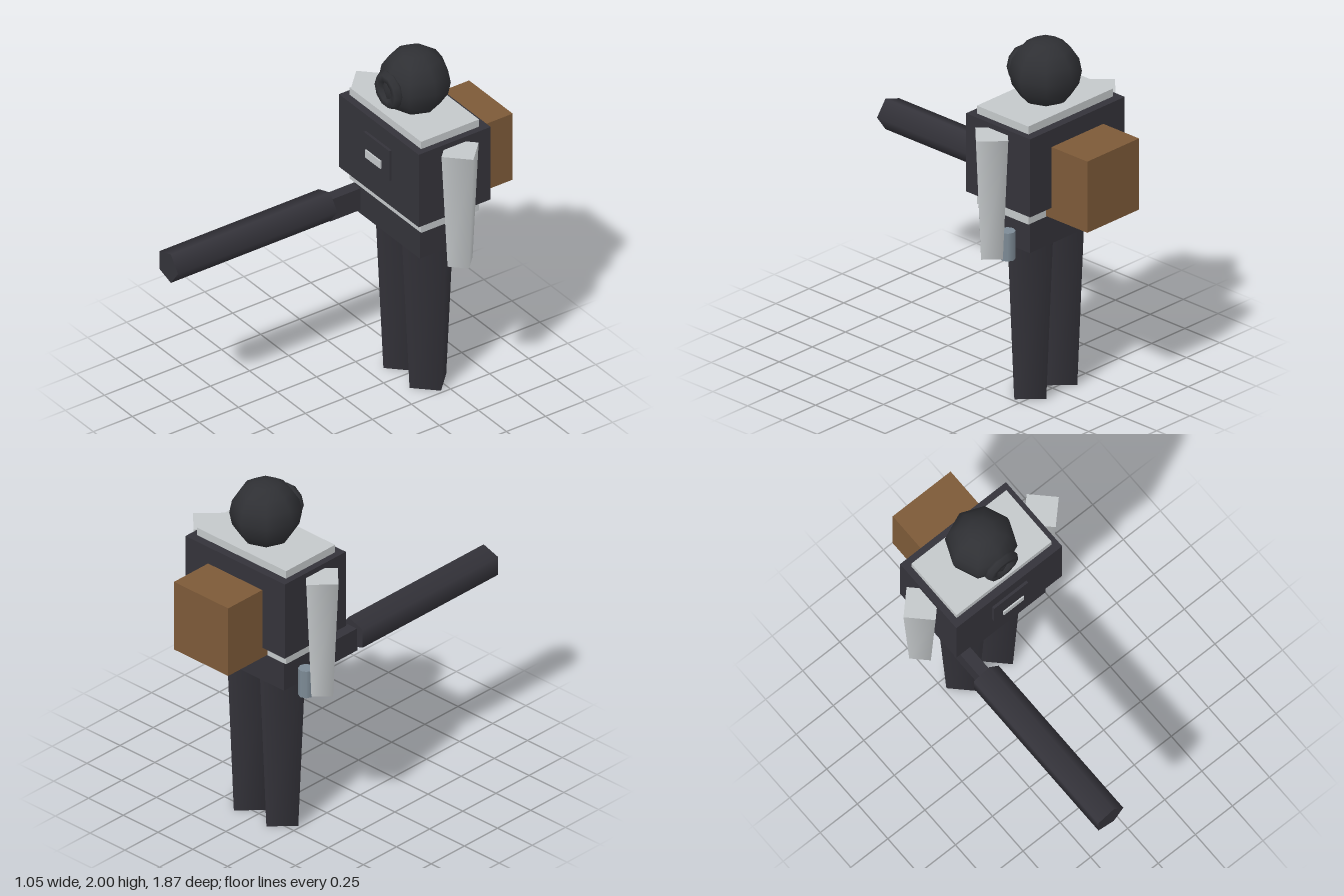
import * as THREE from 'three';

const BODY_Z = -0.45; // depth of the body's own axis

const mat = (name, color) => {
  const m = new THREE.MeshStandardMaterial({ color });
  m.name = name;
  return m;
};

export function createModel() {
  const charcoal = mat('charcoal', 0x34333a);
  const black = mat('black', 0x2f3034);
  const paleGrey = mat('pale grey', 0xc4c8ca);
  const brown = mat('brown', 0x7d5a38);
  const blueGrey = mat('blue grey', 0x7d8b96);

  const model = new THREE.Group();
  model.name = 'figure';

  const add = (name, geometry, material, x, y, z) => {
    const mesh = new THREE.Mesh(geometry, material);
    mesh.name = name;
    mesh.position.set(x, y, z);
    model.add(mesh);
    return mesh;
  };
  // Box given by its lower and upper corners
  const box = (name, material, [x0, y0, z0], [x1, y1, z1]) =>
    add(name, new THREE.BoxGeometry(x1 - x0, y1 - y0, z1 - z0), material,
      (x0 + x1) / 2, (y0 + y1) / 2, (z0 + z1) / 2);

  // Torso layers
  box('hips', charcoal, [-0.29, 0.915, -0.615], [0.29, 1.1, -0.275]);
  box('shirt', paleGrey, [-0.32, 1.095, -0.632], [0.32, 1.66, -0.262]);
  box('vest', charcoal, [-0.357, 1.165, -0.68], [0.357, 1.615, -0.22]);
  box('chestPouch', charcoal, [-0.115, 1.33, -0.225], [0.115, 1.515, -0.205]);
  box('badge', paleGrey, [-0.068, 1.39, -0.188], [0.068, 1.437, -0.18]);
  box('backpack', brown, [-0.195, 1.105, -0.937], [0.195, 1.515, -0.64]);

  // Head with a raised ring around the face
  add('head', new THREE.SphereGeometry(0.19, 8, 8), black, 0, 1.81, BODY_Z);
  add('faceRing', new THREE.TorusGeometry(0.075, 0.032, 6, 10), black, 0, 1.805, -0.285);

  // Four-sided tapering limbs and small round hands
  for (const [side, s] of [['left', 1], ['right', -1]]) {
    add(side + 'Leg', new THREE.CylinderGeometry(0.165, 0.1175, 0.92, 4), charcoal,
      s * 0.117, 0.46, BODY_Z);
    add(side + 'Arm', new THREE.CylinderGeometry(0.119, 0.08, 0.695, 4), paleGrey,
      s * 0.405, 1.2375, BODY_Z);
    add(side + 'Hand', new THREE.CylinderGeometry(0.042, 0.042, 0.16, 8), blueGrey,
      s * 0.343, 0.948, -0.505);
  }

  // Long five-sided barrel on a flat bracket, held at the right hip
  box('barrelBracket', charcoal, [-0.308, 0.937, -0.3], [-0.242, 1.07, -0.08]);
  const barrel = new THREE.CylinderGeometry(0.0925, 0.0925, 1.02, 5);
  barrel.rotateY(Math.PI / 2).rotateX(Math.PI / 2);
  add('barrel', barrel, charcoal, -0.275, 1.026, 0.425);

  return model;
}
